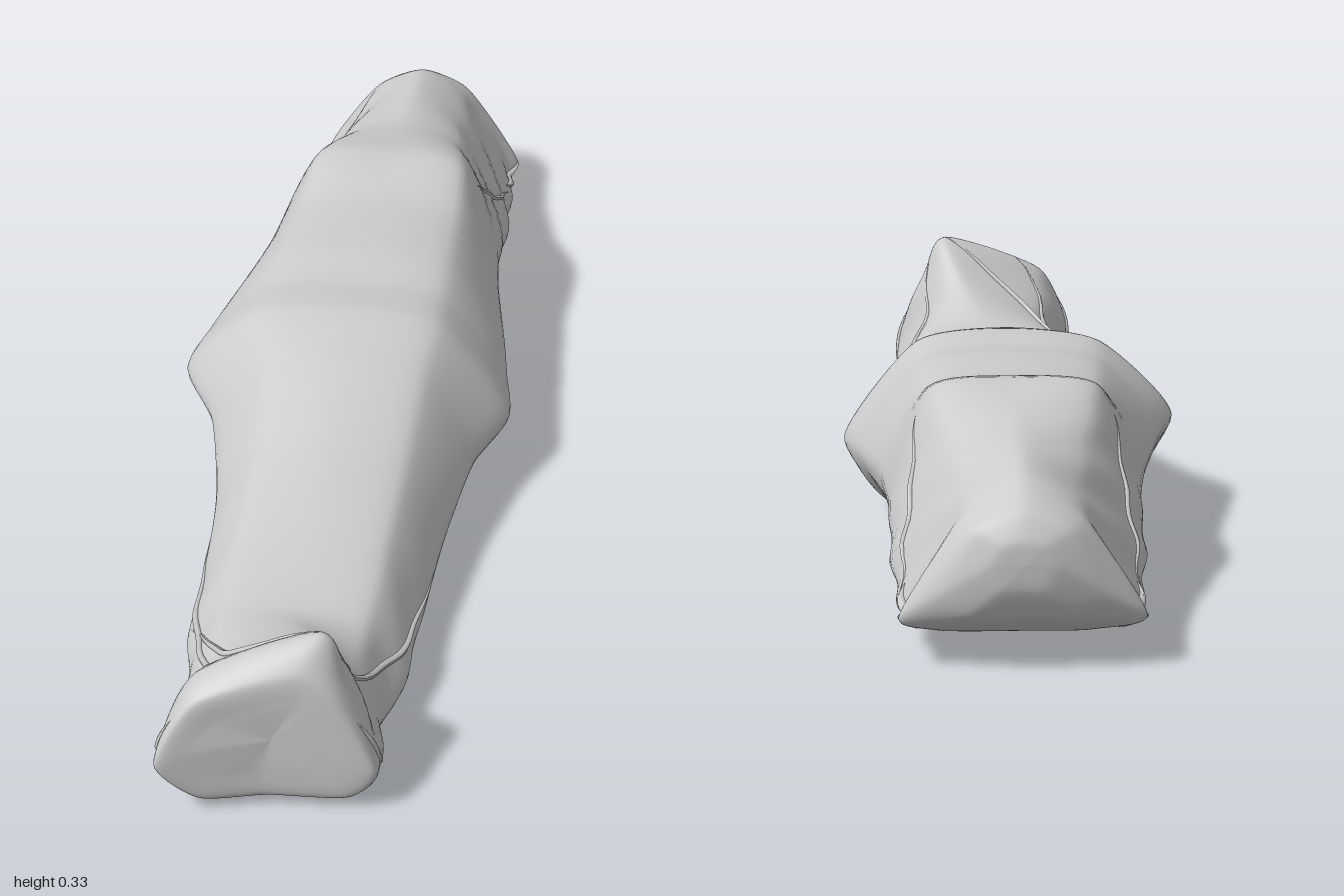
import * as THREE from 'three';

// Cross-sections: z, xLow, xHigh, yBottom, ySide, yTop, xTop, shoulder height, shoulder width
const legs = [
  [0.955, 0.03, 0.03, 0.13, 0.13, 0.13, 0.03, 0.7, 0.6],
  [0.955, -0.08, 0.11, 0.07, 0.11, 0.2, 0.06, 0.65, 0.62],
  [0.948, -0.14, 0.185, 0.02, 0.085, 0.25, 0.07, 0.72, 0.64],
  [0.895, -0.14, 0.19, 0.003, 0.08, 0.293, 0.095, 0.66, 0.69],
  [0.8, -0.127, 0.175, 0, 0.06, 0.22, 0.06, 0.62, 0.68],
  [0.67, -0.152, 0.195, 0, 0.065, 0.162, 0.02, 0.85, 0.66],
  [0.5, -0.16, 0.2, 0, 0.07, 0.18, 0.02, 0.85, 0.65],
  [0.3, -0.175, 0.21, 0, 0.09, 0.225, 0.01, 0.82, 0.64],
  [0.12, -0.215, 0.235, 0.04, 0.125, 0.28, 0, 0.84, 0.6],
];
const torsoAndHead = [
  [0, -0.28, 0.277, 0.043, 0.14, 0.305, 0, 0.87, 0.56],
  [-0.1, -0.265, 0.262, 0.018, 0.145, 0.298, 0, 0.88, 0.57],
  [-0.2, -0.245, 0.245, 0.05, 0.15, 0.308, 0, 0.87, 0.6],
  [-0.36, -0.215, 0.215, 0.03, 0.15, 0.31, 0, 0.87, 0.65],
  [-0.5, -0.2, 0.2, 0.015, 0.135, 0.332, 0, 0.92, 0.66],
  [-0.66, -0.197, 0.195, 0.02, 0.095, 0.302, 0, 0.82, 0.54],
  [-0.82, -0.183, 0.183, 0.03, 0.07, 0.291, 0, 0.75, 0.5],
  [-0.9, -0.17, 0.17, 0.042, 0.07, 0.28, 0, 0.76, 0.52],
  [-0.942, -0.182, 0.182, 0.06, 0.08, 0.262, 0, 0.76, 0.5],
  [-0.975, -0.115, 0.115, 0.085, 0.125, 0.24, 0, 0.78, 0.62],
  [-0.996, -0.05, 0.05, 0.13, 0.165, 0.205, 0, 0.8, 0.65],
  [-1, 0, 0, 0.17, 0.17, 0.17, 0, 0.8, 0.6],
];
const stations = [...legs, ...torsoAndHead];
const LAST = stations.length - 1;

// Eight control points around one section, anticlockwise from the underside
function section([z, xl, xr, yb, ys, yt, xt, sh, sw]) {
  const mid = (xl + xr) / 2, half = (xr - xl) / 2;
  const yLow = yb + (ys - yb) * 0.06, yShoulder = ys + (yt - ys) * sh;
  // the low-x side rides a little higher, from the feet up to the chest
  const tilt = 0.06 * half * THREE.MathUtils.smoothstep(z, -0.4, -0.1);
  const pts = [
    [mid, yb], [mid + half * 0.74, yLow], [xr, ys - tilt], [mid + half * sw, yShoulder],
    [xt, yt], [mid - half * sw, yShoulder], [xl, ys + tilt], [mid - half * 0.62, yLow],
  ];
  // the foot end is drawn out towards its low-x corner
  const feet = THREE.MathUtils.smoothstep(z, 0.7, 0.945);
  return pts.map(([x, y]) => new THREE.Vector3(x, y, z - feet * x * (x < 0 ? 0.34 : 0.06)));
}

const rings = stations.map(section);
const rails = rings[0].map((_, k) =>
  new THREE.CatmullRomCurve3(rings.map(r => r[k]), false, 'catmullrom', 0.35));

// Closed outline at position u along the body (measured in stations)
const outline = u =>
  new THREE.CatmullRomCurve3(rails.map(r => r.getPoint(u / LAST)), true, 'catmullrom', 0.35);

// Point on the outline with shallow cloth wrinkles near both ends
function clothPoint(curve, v) {
  const p = curve.getPoint((v / 8) % 1);
  const ends = THREE.MathUtils.smoothstep(Math.abs(p.z), 0.35, 0.8);
  const fade = 1 - THREE.MathUtils.smoothstep(Math.abs(p.z), 0.88, 0.93);
  const side = Math.abs(Math.sin(v * Math.PI / 4));
  p.x += 0.004 * ends * fade * side * Math.sin(p.z * 34 + p.y * 45 + p.x * 9);
  p.y = Math.max(0, p.y);
  return p;
}

function shroudGeometry(rows, cols) {
  const pos = [], index = [];
  for (let i = 0; i <= rows; i++) {
    const curve = outline(i / rows * LAST);
    for (let j = 0; j < cols; j++) pos.push(...clothPoint(curve, j / cols * 8).toArray());
  }
  for (let i = 0; i < rows; i++) for (let j = 0; j < cols; j++) {
    const a = i * cols + j, c = i * cols + (j + 1) % cols;
    index.push(a, a + cols, c, c, a + cols, c + cols);
  }
  const g = new THREE.BufferGeometry();
  g.setAttribute('position', new THREE.Float32BufferAttribute(pos, 3));
  g.setIndex(index);
  g.computeVertexNormals();
  return g;
}

// Tapered cloth fold lying on the surface along [u, v] points
function foldGeometry(path, radius) {
  const segments = 24, sides = 6, route = new THREE.CatmullRomCurve3(
    path.map(([u, v]) => new THREE.Vector3(u, v, 0)));
  const curve = new THREE.CatmullRomCurve3(route.getPoints(16).map(s => clothPoint(outline(s.x), s.y)));
  const g = new THREE.TubeGeometry(curve, segments, radius, sides);
  const p = g.attributes.position, q = new THREE.Vector3();
  for (let i = 0; i <= segments; i++) {
    const centre = curve.getPointAt(i / segments);
    const taper = 0.05 + 0.95 * Math.sin(Math.PI * i / segments);
    for (let j = 0; j <= sides; j++) {
      const k = i * (sides + 1) + j;
      q.fromBufferAttribute(p, k).sub(centre).multiplyScalar(taper).add(centre);
      p.setXYZ(k, q.x, Math.max(0, q.y), q.z);
    }
  }
  g.computeVertexNormals();
  return g;
}

export function createModel() {
  const group = new THREE.Group();
  group.name = 'shroudedFigure';
  const material = new THREE.MeshStandardMaterial({ color: 0xcccccc, side: THREE.DoubleSide });
  const add = (name, geometry) => {
    const mesh = new THREE.Mesh(geometry, material);
    mesh.name = name;
    group.add(mesh);
  };

  add('shroud', shroudGeometry(160, 72));

  // Folds sweeping back from the feet and gathered below the head, on both sides
  const folds = [
    ['footFold', [[3, 3.3], [4, 2.8], [5, 2.4], [6.5, 2]], 0.006],
    ['toeFold', [[2.3, 2.6], [2.7, 2.1], [3.2, 1.7]], 0.005],
    ['shoulderFold', [[13, 2.7], [14, 2.4], [15, 2.1]], 0.005],
    ['headCornerFold', [[15, 2.2], [16, 1.95], [17, 2]], 0.009],
    ['headHemFold', [[14.8, 1.6], [15.7, 1.5], [16.6, 1.8]], 0.006],
  ];
  for (const [name, path, radius] of folds) {
    add(name + 'Left', foldGeometry(path, radius));
    add(name + 'Right', foldGeometry(path.map(([u, v]) => [u, 8 - v]), radius));
  }
  // Diagonal fold across the top of the feet
  add('instepFold', foldGeometry([[3, 4], [3.8, 4.6], [4.5, 5.2], [5.2, 5.8]], 0.006));
  return group;
}
